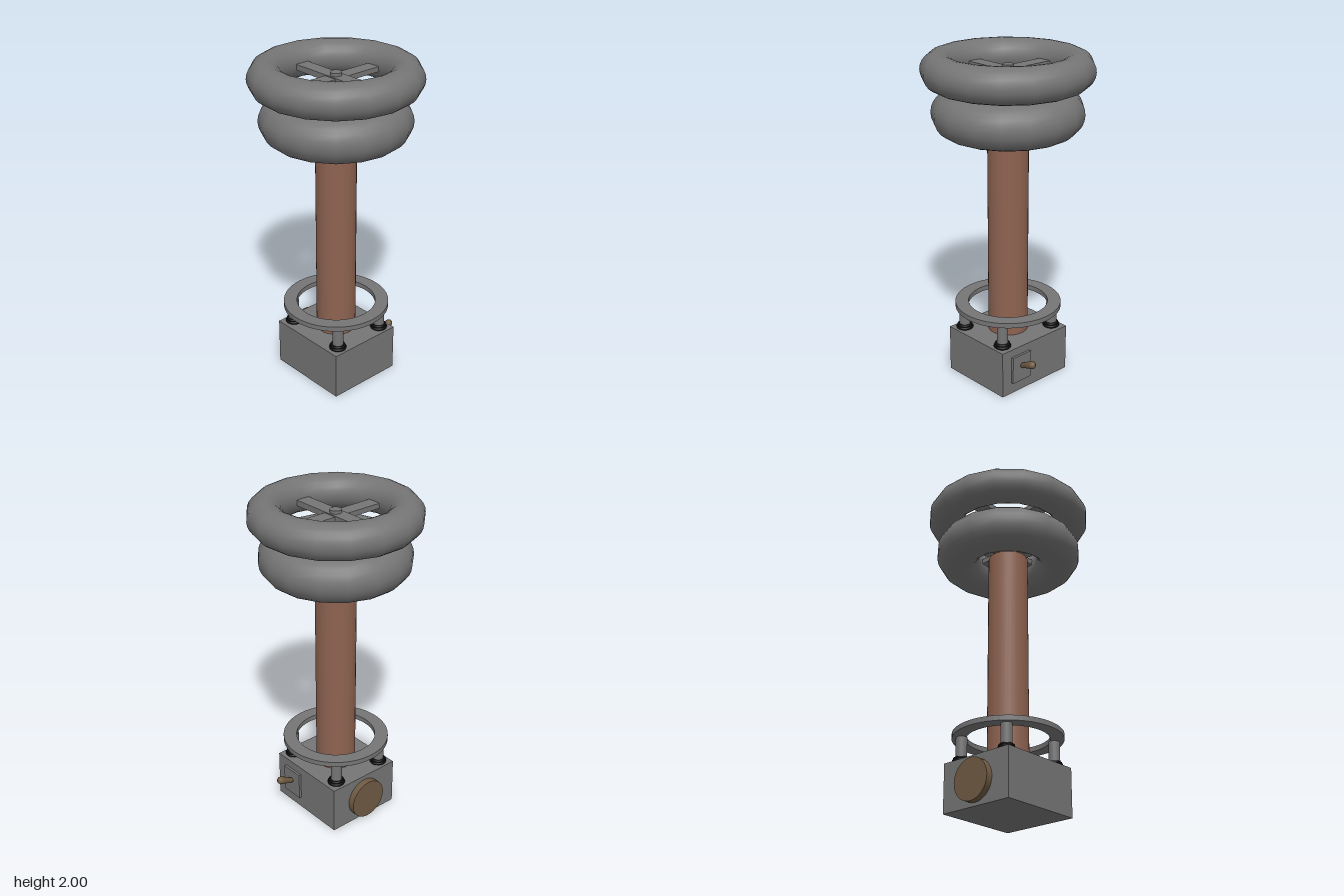
import * as THREE from 'three';

const material = (name, color, extra = {}) =>
  Object.assign(new THREE.MeshStandardMaterial({ color, ...extra }), { name });

export function createModel() {
  const grey = material('metal grey', 0x757575);
  const brown = material('coil brown', 0x8e6351);
  const orange = material('copper orange', 0xc87045);
  const wood = material('dark bronze', 0x6e5a42);
  const black = material('rubber black', 0x0c0c0c);

  const model = new THREE.Group();
  model.name = 'coilTower';
  const add = (name, geometry, mat, x = 0, y = 0, z = 0) => {
    const mesh = new THREE.Mesh(geometry, mat);
    mesh.name = name;
    mesh.position.set(x - 0.005, y, z);
    model.add(mesh);
    return mesh;
  };
  const cylinder = (r, h, n = 32) => new THREE.CylinderGeometry(r, r, h, n);
  const torus = (R, r, radial, around) => new THREE.TorusGeometry(R, r, radial, around).rotateX(Math.PI / 2);

  // Base cabinet
  add('baseBox', new THREE.BoxGeometry(0.53, 0.29, 0.48), grey, 0, 0.145, 0);

  // Round cover on the side of the cabinet
  add('sideDisc', cylinder(0.122, 0.04).rotateZ(Math.PI / 2), wood, -0.285, 0.142, 0);

  // Switch on the back: plate and tapered lever with a rounded tip
  add('switchPlate', new THREE.BoxGeometry(0.145, 0.17, 0.016), grey, 0.122, 0.155, -0.247);
  const leverProfile = [[0, 0], [0.014, 0], [0.024, 0.095], [0.022, 0.108], [0.014, 0.119], [0, 0.123]]
    .map(([r, h]) => new THREE.Vector2(r, h));
  const lever = add('switchLever', new THREE.LatheGeometry(leverProfile, 16), wood, 0.122, 0.167, -0.25);
  lever.rotation.x = -1.16;

  // Main column with a copper cap
  add('column', cylinder(0.12, 1.33), brown, 0, 0.945, 0);
  add('columnCap', cylinder(0.118, 0.008), orange, 0, 1.61, 0);

  // Flat ring carried on four posts with black ribbed feet
  const ringShape = new THREE.Shape().absarc(0, 0, 0.32, 0, Math.PI * 2, false);
  ringShape.holes.push(new THREE.Path().absarc(0, 0, 0.24, 0, Math.PI * 2, true));
  const ring = new THREE.ExtrudeGeometry(ringShape, { depth: 0.03, bevelEnabled: false, curveSegments: 32 });
  add('flatRing', ring.rotateX(-Math.PI / 2), grey, 0, 0.442, 0);
  for (const x of [-0.203, 0.203]) {
    for (const z of [-0.17, 0.17]) {
      add('post', cylinder(0.033, 0.16, 20), grey, x, 0.365, z);
      add('footLower', torus(0.041, 0.011, 10, 20), black, x, 0.3, z);
      add('footUpper', torus(0.037, 0.009, 10, 20), black, x, 0.314, z);
    }
  }

  // Two large rings at the top
  add('lowerToroid', torus(0.31, 0.13, 24, 17), grey, 0, 1.65, 0);
  add('upperToroid', torus(0.393, 0.1025, 24, 17), grey, 0, 1.8975, 0);

  // Crossed spokes inside each ring, joined by a central rod
  for (const [y, half] of [[1.66, 0.19], [1.892, 0.287]]) {
    add('spokeAcross', new THREE.BoxGeometry(half * 2, 0.034, 0.087), grey, 0, y, 0);
    add('spokeAlong', new THREE.BoxGeometry(0.087, 0.03, half * 2), grey, 0, y - 0.004, 0);
  }
  add('centreRod', cylinder(0.034, 0.315, 24), grey, 0, 1.77, 0);

  return model;
}
